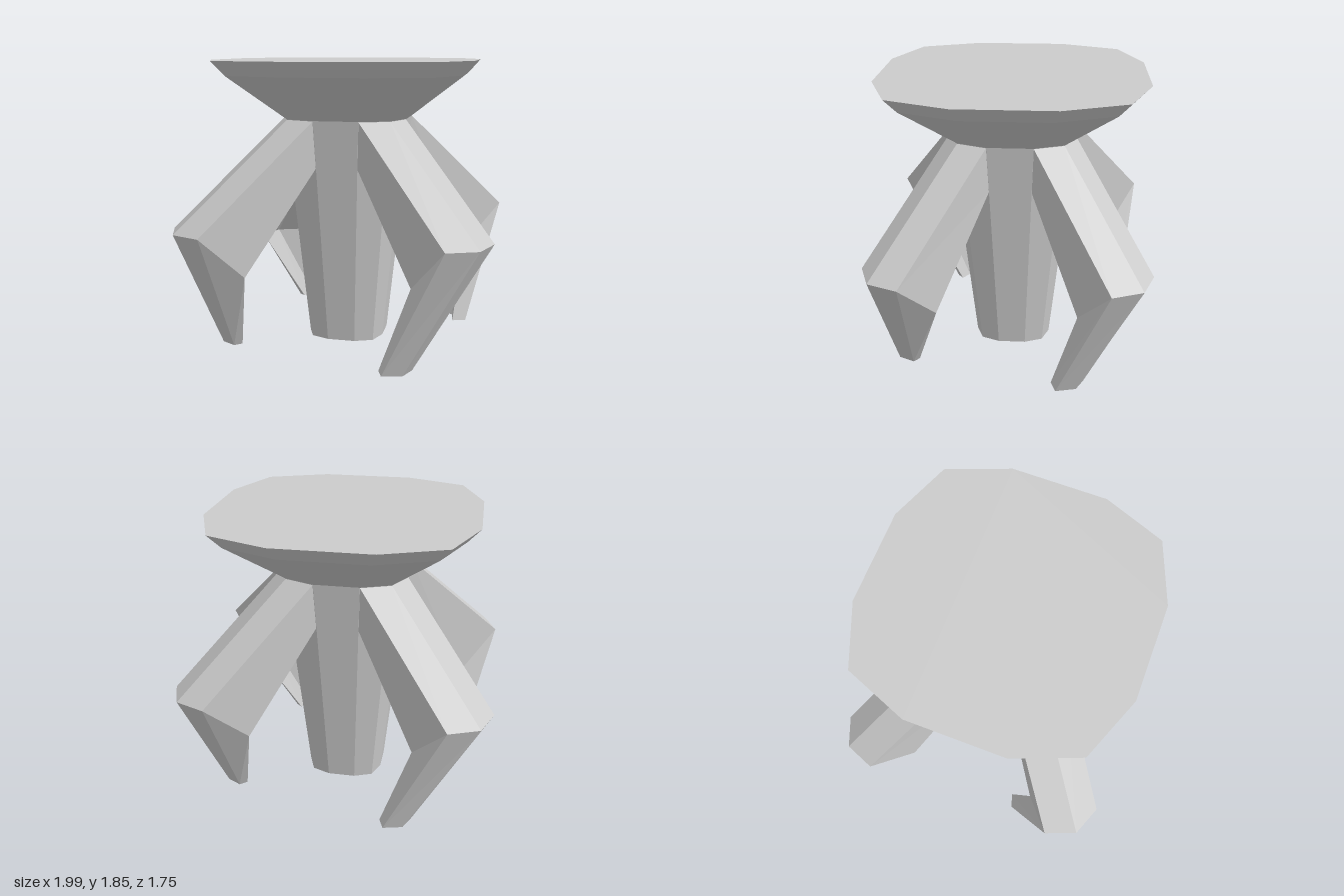
import * as THREE from 'three';

const material = new THREE.MeshStandardMaterial({ color: 0xcccccc, flatShading: true });

// Skins a list of equal rings of [x, y, z] points; caps are lists of point loops.
function loft(name, rings, caps) {
  const pos = [];
  const tri = (a, b, c) => pos.push(...a, ...b, ...c);
  for (let r = 0; r < rings.length - 1; r++) {
    const A = rings[r], B = rings[r + 1];
    for (let i = 0; i < A.length; i++) {
      const j = (i + 1) % A.length;
      tri(A[i], A[j], B[j]);
      tri(A[i], B[j], B[i]);
    }
  }
  for (const c of caps) for (let i = 1; i < c.length - 1; i++) tri(c[0], c[i], c[i + 1]);
  const g = new THREE.BufferGeometry();
  g.setAttribute('position', new THREE.Float32BufferAttribute(pos, 3));
  g.computeVertexNormals();
  const mesh = new THREE.Mesh(g, material);
  mesh.name = name;
  return mesh;
}

// Twelve-sided rounded square, one corner of three points turned four times.
const corner = [[1, 0.357], [0.82, 0.82], [0.357, 1]];
function roundedSquare(half, y) {
  const ring = [];
  for (let q = 0; q < 4; q++) {
    for (const [a, b] of corner) {
      let x = a * half, z = b * half;
      for (let k = 0; k < q; k++) [x, z] = [-z, x];
      ring.push([x, y, z]);
    }
  }
  return ring;
}

// Leg: six-point sections (three outer, three inner) at hip, knee and foot.
function leg(name, foot, mirrorZ) {
  const at = (half, y, dx, dz) => corner.map(([a, b]) => [a * half + dx, y, b * half + dz]);
  const section = (outer, inner) => [...outer, ...inner.reverse()];
  let rings = [
    section(at(0.4, 1.48, 0, 0), at(0.37, 1.18, 0, 0)),
    section(at(0.41, 0.81, 0.585, 0.467), at(0.37, 0.525, 0.385, 0.3)),
    foot.map(([x, z]) => [x, 0, z]),
  ];
  if (mirrorZ) rings = rings.map((r) => r.map(([x, y, z]) => [x, y, -z]).reverse());
  const f = rings[2];
  return loft(name, rings, [[f[0], f[1], f[4], f[5]], [f[1], f[2], f[3], f[4]]]);
}

export function createModel() {
  const model = new THREE.Group();

  // Tapered column and the flared dish above it
  const base = roundedSquare(0.253, 0), neck = roundedSquare(0.403, 1.48);
  const rim = roundedSquare(0.84, 1.85);
  model.add(loft('column', [neck, base], [base]));
  model.add(loft('dish', [rim, roundedSquare(0.762, 1.76), neck], [[...rim].reverse(), neck]));

  // Feet swing round the column, so neighbouring legs differ
  const inwardFoot = [[0.53, 0.64], [0.485, 0.74], [0.36, 0.77], [0.33, 0.69], [0.44, 0.69], [0.49, 0.605]];
  const outwardFoot = [[0.79, 0.31], [0.76, 0.44], [0.67, 0.488], [0.625, 0.45], [0.69, 0.4], [0.7, 0.28]];
  for (const [side, turn] of [['front', 0], ['back', Math.PI]]) {
    const pair = new THREE.Group();
    pair.name = side + 'LegPair';
    pair.add(leg('inwardLeg', inwardFoot, false), leg('outwardLeg', outwardFoot, true));
    pair.rotation.y = turn;
    model.add(pair);
  }
  return model;
}
